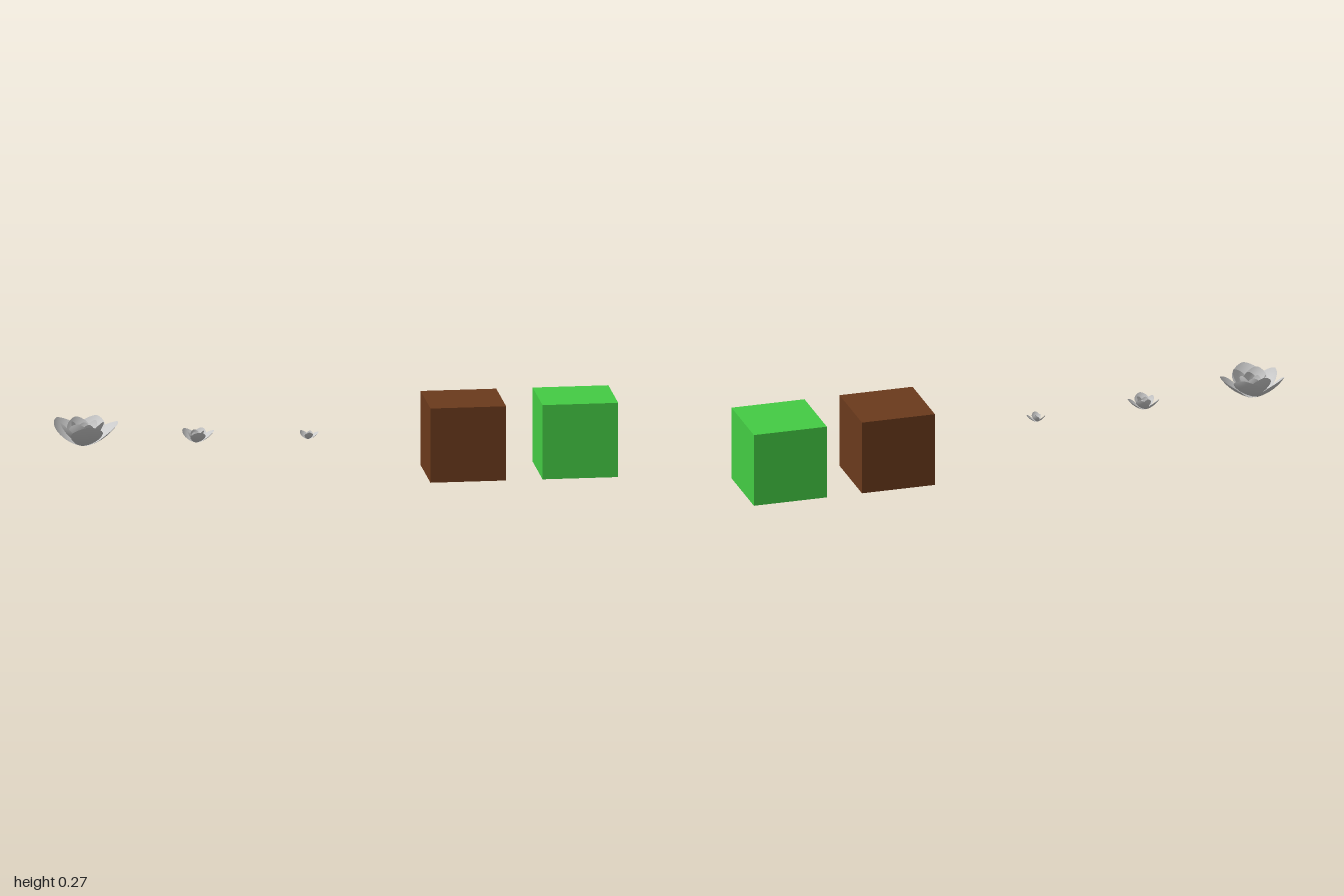
import * as THREE from 'three';

const GOLDEN = THREE.MathUtils.degToRad(137.5);
const petalMaterial = new THREE.MeshStandardMaterial({ color: 0xcccccc, side: THREE.DoubleSide });

// Cupped petal growing from the origin towards +x; its spine is an arc whose slope goes from a0 to a1
function petalGeometry(length, halfWidth, a0, a1) {
  const geometry = new THREE.PlaneGeometry(1, 1, 12, 18);
  const pos = geometry.attributes.position;
  const bend = a1 - a0;
  for (let i = 0; i < pos.count; i++) {
    const u = pos.getX(i) * 2;
    const v = (1 - Math.cos(Math.PI * (pos.getY(i) + 0.5))) / 2;
    const a = a0 + bend * v;
    const width = halfWidth * Math.pow(Math.max(0, Math.sin(Math.PI * Math.pow(v, 1.3))), 0.6);
    const s = u * width;
    const cup = 0.25 * s * s / halfWidth;
    pos.setXYZ(
      i,
      length * (Math.sin(a) - Math.sin(a0)) / bend - cup * Math.sin(a),
      length * (Math.cos(a0) - Math.cos(a)) / bend + cup * Math.cos(a),
      s
    );
  }
  geometry.computeVertexNormals();
  return geometry;
}

// Petals spiral inwards by the golden angle, getting smaller and more upright
function createFlower(name, petals, scale, x) {
  const flower = new THREE.Group();
  flower.name = name;
  for (let i = 0; i < petals; i++) {
    const t = i / (petals - 1);
    const mix = (outer, inner) => THREE.MathUtils.lerp(outer, inner, t);
    const petal = new THREE.Mesh(
      petalGeometry(mix(0.155, 0.08), mix(0.064, 0.026), mix(0.2, 0.9), mix(1.0, 1.7)),
      petalMaterial
    );
    petal.name = 'petal';
    petal.rotation.y = i * GOLDEN;
    flower.add(petal);
  }
  flower.scale.setScalar(scale);
  flower.position.set(x, 0.14, 0);
  return flower;
}

function createBlock(name, color, x) {
  const size = 0.27;
  const block = new THREE.Mesh(
    new THREE.BoxGeometry(size, size, size),
    new THREE.MeshStandardMaterial({ color })
  );
  block.name = name;
  block.position.set(x, size / 2, 0);
  return block;
}

export function createModel() {
  const model = new THREE.Group();
  model.name = 'flowersAndBlocks';
  model.add(
    createFlower('largeFlower', 13, 1, -0.892),
    createFlower('mediumFlower', 9, 0.5, -0.488),
    createFlower('smallFlower', 6, 0.31, -0.09),
    createBlock('brownBlock', 0x6b3a1c, 0.465),
    createBlock('greenBlock', 0x44cc44, 0.865)
  );
  return model;
}
